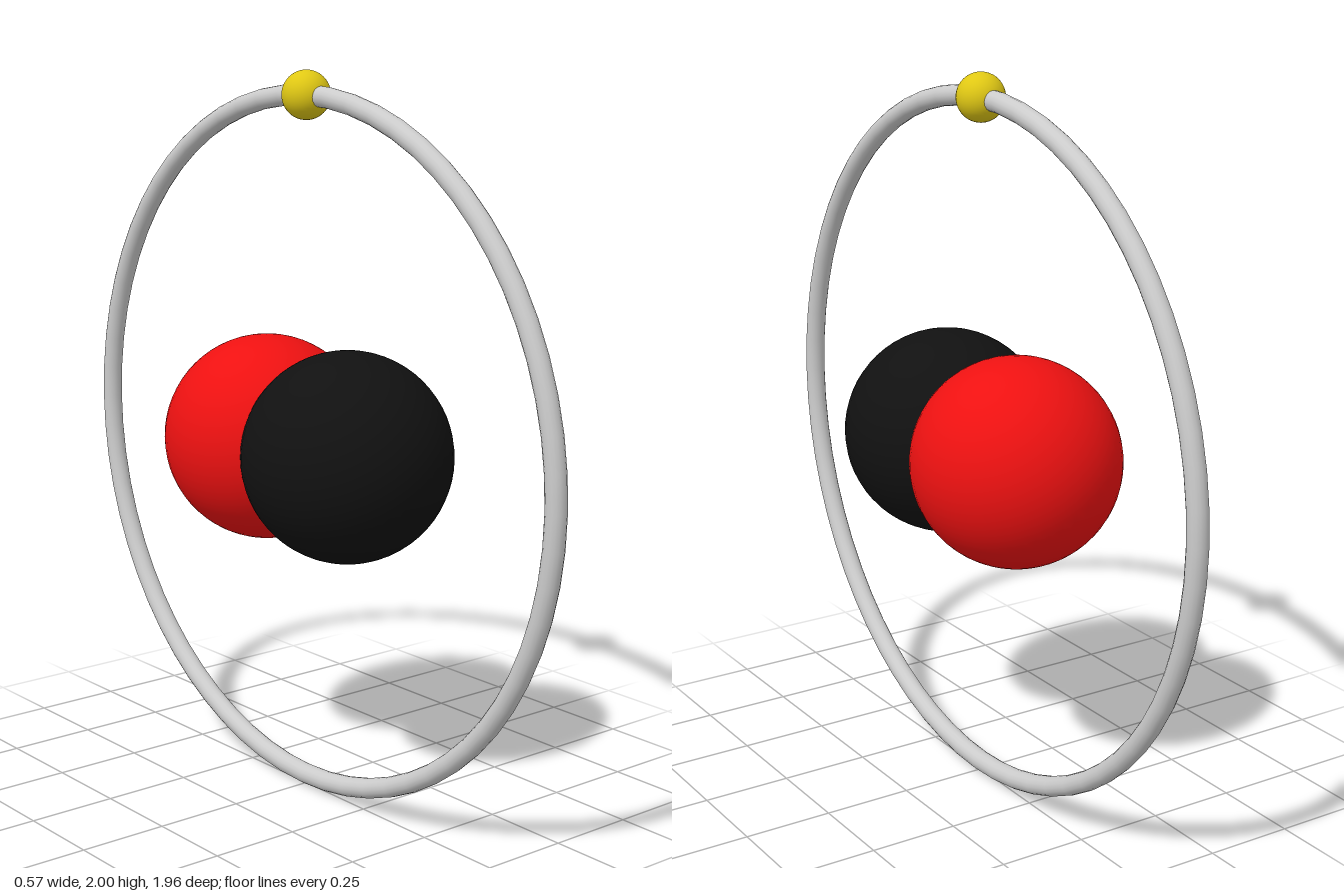
import * as THREE from 'three';

const CENTRE_Y = 0.98;
const RING_RADIUS = 0.952;

export function createModel() {
  const model = new THREE.Group();

  function add(name, geometry, color, y, z) {
    const mesh = new THREE.Mesh(geometry, new THREE.MeshStandardMaterial({ color }));
    mesh.name = name;
    mesh.position.set(0, y, z);
    model.add(mesh);
    return mesh;
  }

  // Two overlapping balls in the middle
  const ball = new THREE.SphereGeometry(0.287, 48, 32);
  add('frontBall', ball, 0x111111, CENTRE_Y, 0.175);
  add('backBall', ball, 0xee1111, CENTRE_Y, -0.175);

  // Upright ring around them, in the yz plane
  const ring = new THREE.TorusGeometry(RING_RADIUS, 0.028, 16, 64);
  add('orbitRing', ring, 0xcccccc, CENTRE_Y, 0).rotation.y = Math.PI / 2;

  // Small bead at the top of the ring
  add('orbitBead', new THREE.SphereGeometry(0.066, 32, 24), 0xe0c814, CENTRE_Y + RING_RADIUS, 0);

  return model;
}
